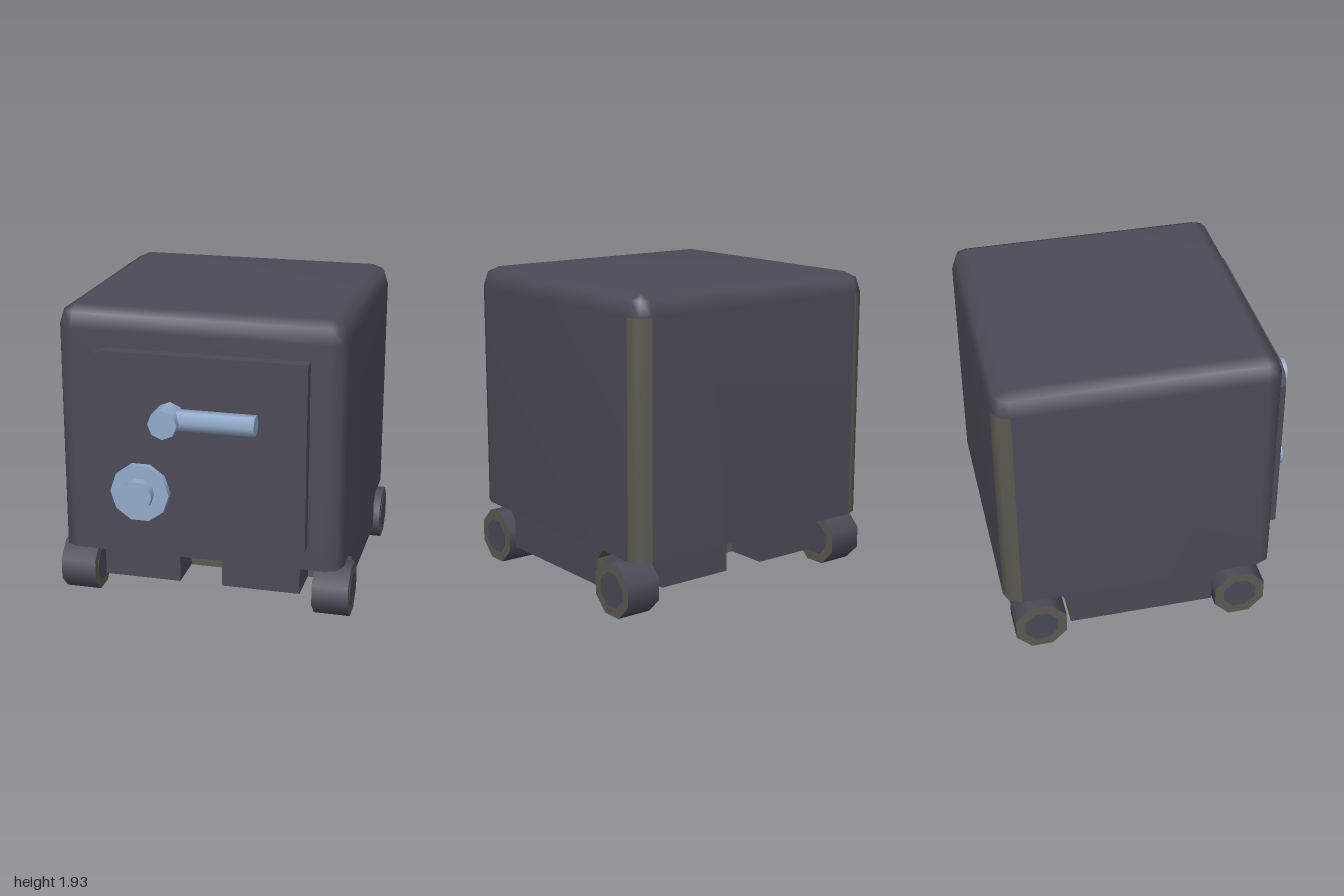
import * as THREE from 'three';
import { mergeVertices } from 'three/addons/utils/BufferGeometryUtils.js';

export function createModel() {
  const group = new THREE.Group();
  const mat = (name, color, side = THREE.FrontSide) => {
    const m = new THREE.MeshStandardMaterial({ color, side });
    m.name = name;
    return m;
  };
  const dark = mat('dark steel', 0x4b4a57, THREE.DoubleSide);
  const olive = mat('olive trim', 0x5a5a50, THREE.DoubleSide);
  const blue = mat('pale blue metal', 0x93aacb);

  const add = (name, geo, material, x = 0, y = 0, z = 0) => {
    const mesh = new THREE.Mesh(geo, material);
    mesh.name = name;
    mesh.position.set(x, y, z);
    group.add(mesh);
    return mesh;
  };

  const BOTTOM = 0.36, R = 0.105, CX = 0.797, CZ = 0.7675, MID = -0.1275;

  // Hollow body shell: rounded-rectangle rings, rounded top edge, open below
  const corners = [[1, 1], [-1, 1], [-1, -1], [1, -1]];
  const ring = (r, y) => corners.flatMap(([sx, sz], k) =>
    [0, 1, 2].map(i => {
      const a = k * Math.PI / 2 + i * Math.PI / 4;
      return [sx * CX + r * Math.cos(a), y, MID + sz * CZ + r * Math.sin(a)];
    }));
  const levels = [[R, BOTTOM], [R, 1.8], [R * 0.71, 1.895], [0, 1.93]];
  const points = levels.flatMap(([r, y]) => ring(r, y));
  const darkIdx = [], oliveIdx = [];
  for (let l = 0; l < 3; l++) {
    for (let j = 0; j < 12; j++) {
      const n = (j + 1) % 12;
      const a = l * 12 + j, b = l * 12 + n, c = b + 12, d = a + 12;
      // rear corner strips are olive
      const strip = l === 0 && j >= 6 && j % 3 !== 2;
      (strip ? oliveIdx : darkIdx).push(a, d, c, a, c, b);
    }
  }
  for (let i = 1; i < 11; i++) darkIdx.push(36, 36 + i + 1, 36 + i);
  let shell = new THREE.BufferGeometry();
  shell.setAttribute('position', new THREE.Float32BufferAttribute(points.flat(), 3));
  shell.setIndex([...darkIdx, ...oliveIdx]);
  shell = mergeVertices(shell);
  shell.clearGroups();
  shell.addGroup(0, darkIdx.length, 0);
  shell.addGroup(darkIdx.length, oliveIdx.length, 1);
  shell.computeVertexNormals();
  add('body', shell, [dark, olive]);

  // Undercarriage: ledges, olive cross walls with a chamfer, side skirts
  const quad = (a, b, c, d) => {
    const g = new THREE.BufferGeometry();
    g.setAttribute('position', new THREE.Float32BufferAttribute([...a, ...b, ...c, ...a, ...c, ...d], 3));
    g.computeVertexNormals();
    return g;
  };
  const W = CX + R;
  const ends = [
    { name: 'front', s: 1, top: 0.39, wall: 0.34, tab: 0.61, wheel: 0.52 },
    { name: 'rear', s: -1, top: -0.645, wall: -0.59, tab: -0.86, wheel: -0.785 },
  ];
  for (const { name, s, top, wall, tab, wheel } of ends) {
    const edge = MID + s * CZ;
    const half = [[W, top], [W, edge], [CX + R * 0.707, edge + s * R * 0.707], [CX, edge + s * R]];
    const outline = [...half, ...half.map(([x, z]) => [-x, z]).reverse()];
    const ledge = new THREE.ShapeGeometry(new THREE.Shape(outline.map(p => new THREE.Vector2(...p))));
    ledge.rotateX(Math.PI / 2);
    add(name + 'Ledge', ledge, dark, 0, BOTTOM, 0);

    const profile = [[BOTTOM, top], [0.3, wall], [0.125, wall]];
    for (let i = 0; i < 2; i++) {
      const [y0, z0] = profile[i], [y1, z1] = profile[i + 1];
      add(name + 'CrossWall', quad([-s * W, y0, z0], [-s * W, y1, z1], [s * W, y1, z1], [s * W, y0, z0]), olive);
    }

    // Fork blocks projecting from the cross wall
    for (const [x0, x1] of [[-0.66, -0.16], [0.115, 0.62]]) {
      add(name + 'Block', new THREE.BoxGeometry(x1 - x0, 0.172, Math.abs(tab - wall)), dark,
        (x0 + x1) / 2, 0.213, (tab + wall) / 2);
    }

    // Eight-sided wheels: dark tread, olive faces, dark hubs
    for (const side of [-1, 1]) {
      const disc = (r, w) => new THREE.CylinderGeometry(r, r, w, 8, 1, false, Math.PI / 8).rotateZ(Math.PI / 2);
      add(name + 'Wheel', disc(0.176, 0.23), [dark, olive, olive], side * 0.825, 0.163, wheel);
      add(name + 'WheelHub', disc(0.112, 0.236), dark, side * 0.825, 0.163, wheel);
    }
  }
  const skirtShape = new THREE.Shape([[0.39, BOTTOM], [0.34, 0.3], [0.34, 0.125], [-0.59, 0.125], [-0.59, 0.3], [-0.645, BOTTOM]]
    .map(p => new THREE.Vector2(...p)));
  for (const side of [-1, 1]) {
    add('sideSkirt', new THREE.ShapeGeometry(skirtShape).rotateY(-Math.PI / 2), dark, side * W, 0, 0);
  }

  // Door slab with one rounded upper corner
  const door = new THREE.Shape([[-0.68, 0.515], [0.69, 0.515], [0.69, 1.695], [-0.57, 1.695], [-0.65, 1.665], [-0.68, 1.59]]
    .map(p => new THREE.Vector2(...p)));
  add('door', new THREE.ExtrudeGeometry(door, { depth: 0.085, bevelEnabled: false }), dark, 0, 0, 0.74);

  // Handle and combination dial
  const knob = (name, r, sides, z0, z1, x, y, turn = 0) => add(name,
    new THREE.CylinderGeometry(r, r, z1 - z0, sides, 1, false, turn).rotateX(Math.PI / 2), blue, x, y, (z0 + z1) / 2);
  knob('handleHub', 0.091, 8, 0.82, 1.0, -0.15, 1.315);
  add('handleBar', new THREE.CylinderGeometry(0.067, 0.067, 0.52, 6).rotateZ(Math.PI / 2), blue, 0.135, 1.318, 0.885);
  knob('dialPlate', 0.187, 10, 0.82, 0.87, -0.34, 0.815, Math.PI / 10);
  knob('dialKnob', 0.096, 10, 0.86, 0.935, -0.34, 0.818, Math.PI / 10);

  return group;
}
